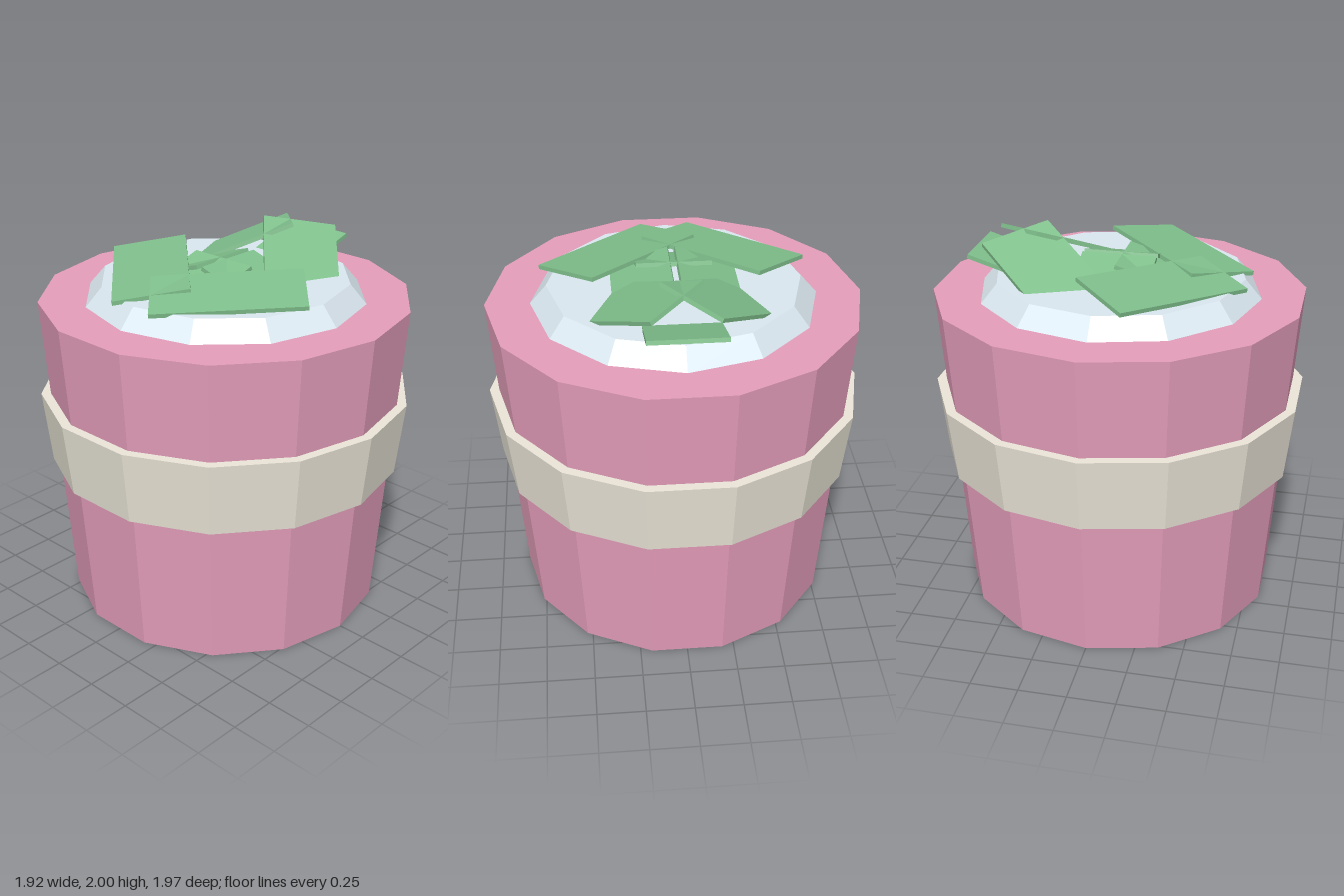
import * as THREE from 'three';

const paint = (color) => new THREE.MeshStandardMaterial({ color, flatShading: true });

export function createModel() {
  const model = new THREE.Group();
  const pink = paint(0xe59ebb), ivory = paint(0xebe6d8), frost = paint(0xdbe8f0), green = paint(0x80c08c);

  // Tapered, faceted drum standing between two heights
  function drum(name, rTop, rBottom, y0, y1, sides, material) {
    const mesh = new THREE.Mesh(new THREE.CylinderGeometry(rTop, rBottom, y1 - y0, sides), material);
    mesh.position.y = (y0 + y1) / 2;
    mesh.name = name;
    model.add(mesh);
  }
  drum('pot', 0.975, 0.847, 0, 1.69, 14, pink);
  drum('band', 0.987, 0.943, 0.785, 1.175, 14, ivory);
  drum('filling', 0.655, 0.75, 1.68, 1.79, 12, frost);

  // Thin slab whose top face starts at corner p and spans u (length) and v (width)
  const thickness = 0.022;
  function leaf(name, p, u, v, mirror = 1) {
    const vec = ([x, y, z]) => new THREE.Vector3(x, y, z * mirror);
    const corner = vec(p), along = vec(u), across = vec(v);
    const centre = corner.addScaledVector(along, 0.5).addScaledVector(across, 0.5);
    const normal = along.clone().cross(across).normalize();
    if (normal.y < 0) normal.negate();
    const geometry = new THREE.BoxGeometry(along.length(), thickness, across.length());
    const xAxis = along.clone().normalize();
    const mesh = new THREE.Mesh(geometry, green);
    mesh.quaternion.setFromRotationMatrix(
      new THREE.Matrix4().makeBasis(xAxis, normal, xAxis.clone().cross(normal)));
    mesh.position.copy(centre).addScaledVector(normal, -thickness / 2);
    mesh.name = name;
    model.add(mesh);
  }

  // Mirrored pairs, back then front
  for (const [side, m] of [['Back', 1], ['Front', -1]]) {
    leaf('flatLeaf' + side, [-0.15, 1.83, -0.69], [-0.53, -0.04, 0.56], [0.28, 0.06, 0.27], m);
    leaf('raisedLeaf' + side, [0.69, 1.944, -0.17], [-0.54, -0.275, -0.49], [-0.28, 0.056, 0.27], m);
    leaf('innerLeaf' + side, [-0.195, 1.885, -0.02], [0, -0.23, -0.74], [0.39, 0, 0], m);
  }
  // Leaves along the middle, sunk into the filling
  for (const [name, x] of [['outerLeaf', 0.76], ['centreLeaf', -0.015]]) {
    leaf(name, [x, 1.885, -0.195], [-0.74, -0.23, 0], [0, 0, 0.39]);
  }
  return model;
}
